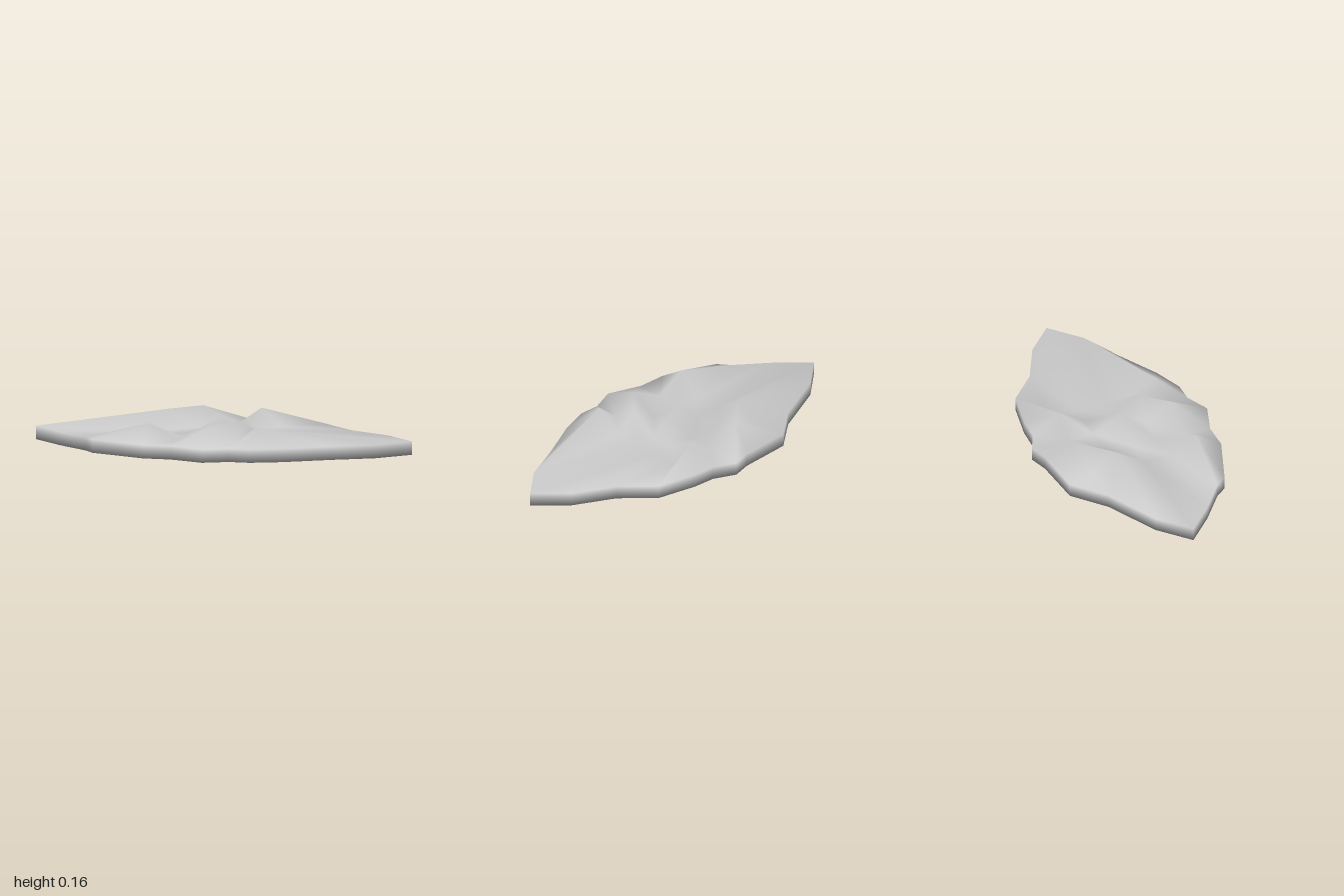
import * as THREE from 'three';

const BASE = 0.07, PEAK = 0.162;

// Interior lattice; '#' marks a raised peak (rows run back to front)
const XS = [-0.33, -0.18, 0, 0.13, 0.24];
const ZS = [-0.29, -0.145, 0, 0.145, 0.29];
const PEAKS = ['.#.#.', '#....', '..#..', '...#.', '#.#.#'];

// Outline from the +x tip towards the front: x, z, and the lattice rim point it leans on
const OUTLINE = [
  [1, 0, 0], [0.84, 0.145, 2], [0.62, 0.25, 2], [0.4, 0.37, 2], [0.24, 0.43, 2], [0.13, 0.43, 3],
  [0, 0.487, 4], [-0.18, 0.43, 5], [-0.33, 0.43, 6], [-0.62, 0.33, 6], [-0.67, 0.27, 7],
  [-0.84, 0.145, 8], [-1, 0, 9], [-0.84, -0.145, 9], [-0.55, -0.29, 10], [-0.38, -0.436, 11],
  [-0.1, -0.46, 11], [0, -0.49, 12], [0.12, -0.44, 13], [0.24, -0.436, 13], [0.46, -0.395, 14],
  [0.62, -0.25, 15], [0.84, -0.145, 15],
];

// Lattice rim in the same turning order, as row * 5 + column
const RIM = [14, 19, 24, 23, 22, 21, 20, 15, 10, 5, 0, 1, 2, 3, 4, 9];

export function createModel() {
  const top = [];
  ZS.forEach((z, j) => XS.forEach((x, i) => top.push([x, PEAKS[j][i] === '#' ? PEAK : BASE, z])));
  const edge = top.length;
  OUTLINE.forEach(([x, z]) => top.push([x, BASE, z]));
  const n = top.length, m = OUTLINE.length;
  const positions = [...top, ...top.map(([x, , z]) => [x, 0, z])].flat();
  const index = [];

  // Each face of the rugged top is repeated, flat and reversed, underneath
  const face = (a, b, c) => index.push(a, b, c, a + n, c + n, b + n);

  // Central peaks and valleys
  for (let j = 0; j < 4; j++) {
    for (let i = 0; i < 4; i++) {
      const p = j * 5 + i;
      face(p, p + 5, p + 1);
      face(p + 5, p + 6, p + 1);
    }
  }

  // Outer slopes and the low rim wall
  for (let k = 0; k < m; k++) {
    const next = (k + 1) % m;
    const a = edge + k, b = edge + next;
    const from = OUTLINE[k][2], to = next === 0 ? RIM.length : OUTLINE[next][2];
    face(b, a, RIM[from]);
    for (let r = from; r < to; r++) face(b, RIM[r], RIM[(r + 1) % RIM.length]);
    index.push(a, b, a + n, b, b + n, a + n);
  }

  const geometry = new THREE.BufferGeometry();
  geometry.setAttribute('position', new THREE.Float32BufferAttribute(positions, 3));
  geometry.setIndex(index);
  geometry.computeVertexNormals();

  const slab = new THREE.Mesh(
    geometry,
    new THREE.MeshStandardMaterial({ color: 0xcccccc, side: THREE.DoubleSide })
  );
  slab.name = 'ruggedSlab';
  const group = new THREE.Group();
  group.name = 'rockPlate';
  group.add(slab);
  return group;
}
